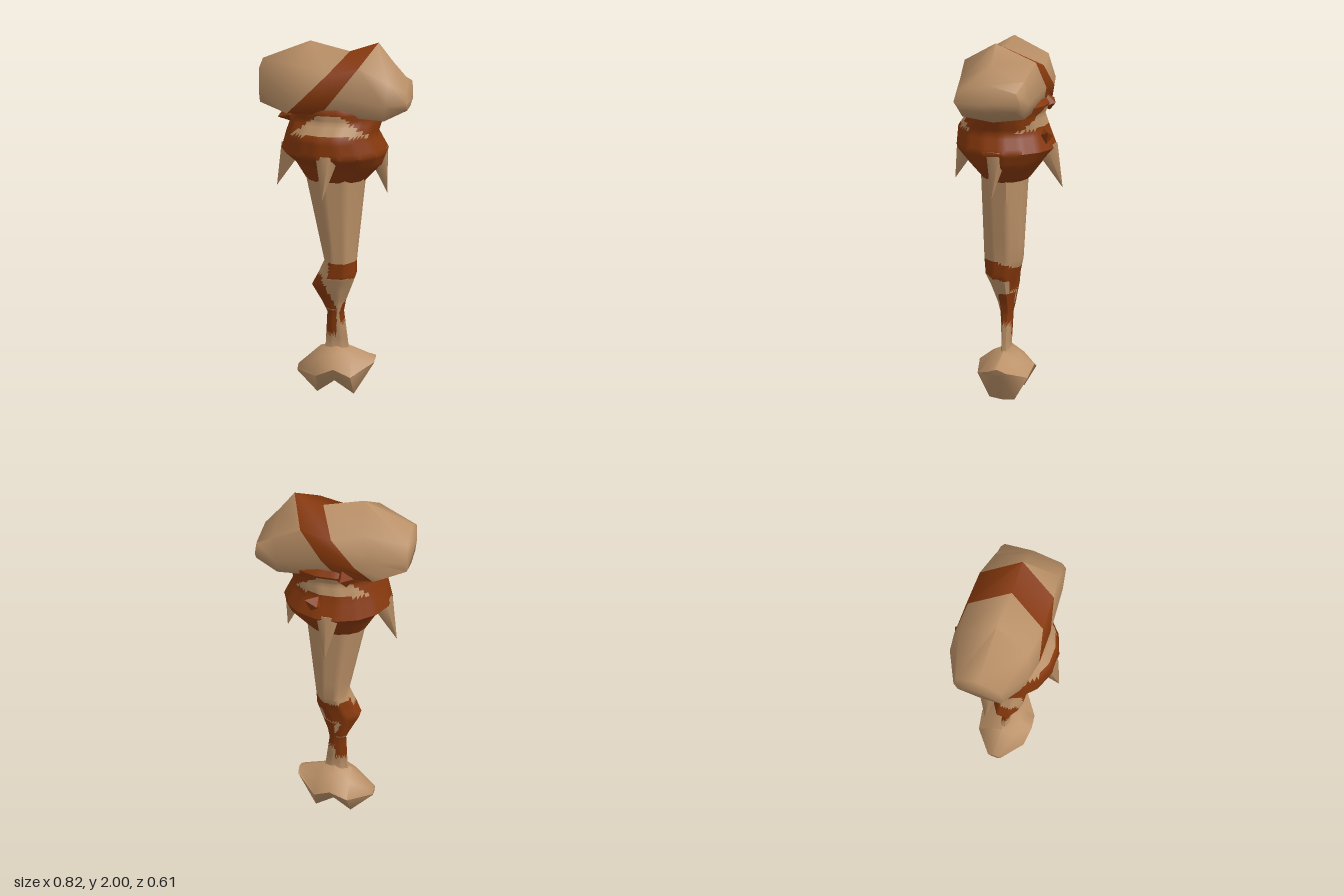
import * as THREE from 'three';
import { toCreasedNormals } from 'three/addons/utils/BufferGeometryUtils.js';

const bone = new THREE.MeshStandardMaterial({ color: 0xb98f66 });
bone.name = 'bone tan';
const leather = new THREE.MeshStandardMaterial({ color: 0x86380c });
leather.name = 'leather brown';

const V = (x, y, z) => new THREE.Vector3(x, y, z);

// Ring with n sides lying flat at height y, filling the given extents
function ringY(n, y, x0, x1, z0, z1) {
  const pts = [], k = 1 / Math.cos(Math.PI / n);
  for (let i = 0; i < n; i++) {
    const a = (i + 0.5) * Math.PI * 2 / n;
    pts.push(V((x0 + x1) / 2 + Math.cos(a) * k * (x1 - x0) / 2, y,
      (z0 + z1) / 2 + Math.sin(a) * k * (z1 - z0) / 2));
  }
  return pts;
}

// Upright ring hung between a top and a bottom point, with half width w;
// the profile lists [drop, width] pairs between the two points
const HEAD = [[0.27, 0.87], [0.65, 1], [0.92, 0.85]];
const POMMEL = [[0.18, 0.5], [0.48, 1], [0.97, 0.5]];
function ringX(profile, tx, ty, bx, by, w) {
  const at = (t, z) => V(tx + (bx - tx) * t, ty + (by - ty) * t, z);
  return [at(0, 0), ...profile.map(([t, s]) => at(t, -s * w)),
    at(1, 0), ...[...profile].reverse().map(([t, s]) => at(t, s * w))];
}

// Skin through rings with capped ends; isBrown(centre, row) picks the colour of each face
function loft(name, rings, isBrown, sub = 1, caps = [], crease = 0.9) {
  const rows = [];
  for (let r = 0; r < rings.length; r++) {
    const steps = r === rings.length - 1 ? 1 : sub;
    for (let k = 0; k < steps; k++) {
      const ring = rings[r].map((p, i) => steps > 1 ? p.clone().lerp(rings[r + 1][i], k / steps) : p.clone());
      const fine = [];
      ring.forEach((p, i) => {
        for (let m = 0; m < sub; m++) fine.push(p.clone().lerp(ring[(i + 1) % ring.length], m / sub));
      });
      rows.push(fine);
    }
  }
  const sets = [[], []];
  const tri = (a, b, c, row) => {
    const mid = a.clone().add(b).add(c).divideScalar(3);
    sets[isBrown(mid, row) ? 1 : 0].push(a, b, c);
  };
  const n = rows[0].length, last = rows.length - 1;
  for (let r = 0; r < last; r++) {
    for (let i = 0; i < n; i++) {
      const j = (i + 1) % n, A = rows[r], B = rows[r + 1];
      tri(A[i], B[i], A[j], Math.floor(r / sub));
      tri(A[j], B[i], B[j], Math.floor(r / sub));
    }
  }
  const centre = ring => ring.reduce((s, p) => s.add(p), V(0, 0, 0)).divideScalar(n);
  const c0 = caps[0] || centre(rows[0]), c1 = caps[1] || centre(rows[last]);
  for (let i = 0; i < n; i++) {
    const j = (i + 1) % n;
    tri(c0, rows[0][i], rows[0][j], -1);
    tri(c1, rows[last][j], rows[last][i], rings.length);
  }
  let geo = new THREE.BufferGeometry().setFromPoints([...sets[0], ...sets[1]]);
  geo = toCreasedNormals(geo, crease);
  geo.clearGroups();
  geo.addGroup(0, sets[0].length, 0);
  geo.addGroup(sets[0].length, sets[1].length, 1);
  const mesh = new THREE.Mesh(geo, [bone, leather]);
  mesh.name = name;
  return mesh;
}

export function createModel() {
  const club = new THREE.Group();
  club.name = 'boneClub';

  // Head: wide knuckle with a slanted leather strap between two of its rings
  club.add(loft('head', [
    ringX(HEAD, -0.385, 1.90, -0.38, 1.67, 0.13),
    ringX(HEAD, -0.13, 2.00, -0.29, 1.64, 0.205),
    ringX(HEAD, 0.08, 1.95, -0.25, 1.625, 0.222),
    ringX(HEAD, 0.23, 2.00, -0.07, 1.62, 0.22),
    ringX(HEAD, 0.31, 1.90, 0.28, 1.60, 0.195),
    ringX(HEAD, 0.39, 1.81, 0.40, 1.67, 0.175),
  ], (p, row) => row === 2, 1, [V(-0.413, 1.84, -0.03), V(0.412, 1.71, 0.03)], 1.1));

  // Shaft with uneven painted wraps near the grip
  const wraps = ({ x, y, z }) => {
    const upper = y > 0.69 + 0.2 * z && y < 0.78 + 0.3 * z + 0.05 * x && (x > -0.02 || z < 0);
    const middle = y > 0.5 && y <= 0.72 && (x < -0.02 + (0.6 - y) * 0.4 || (z < -0.03 && y > 0.62));
    const right = x > 0.01 && y > 0.42 && y < 0.61 && z < 0.03;
    const lower = y > 0.35 && y < 0.5 && x < 0.015;
    return upper || middle || right || lower;
  };
  club.add(loft('shaft', [
    ringY(8, 0.24, -0.065, 0.085, -0.03, 0.035),
    ringY(8, 0.29, -0.05, 0.075, -0.02, 0.025),
    ringY(8, 0.48, -0.04, 0.05, -0.03, 0.035),
    ringY(8, 0.54, -0.065, 0.06, -0.04, 0.05),
    ringY(8, 0.65, -0.12, 0.10, -0.055, 0.09),
    ringY(8, 0.71, -0.09, 0.12, -0.065, 0.11),
    ringY(8, 0.80, -0.05, 0.12, -0.09, 0.113),
    ringY(8, 1.32, -0.155, 0.17, -0.105, 0.13),
  ], wraps, 5));

  // Collar: leather bulge around the neck with bare bone showing front and back
  const bare = ({ x, y, z }) => Math.abs(z) > 0.08 && y > 1.555 - 0.1 * Math.abs(x)
    && y < Math.min(1.645, 1.69 - 0.75 * Math.abs(x));
  club.add(loft('collar', [
    ringY(16, 1.255, -0.15, 0.165, -0.12, 0.12),
    ringY(16, 1.36, -0.21, 0.26, -0.20, 0.20),
    ringY(16, 1.43, -0.28, 0.285, -0.26, 0.27),
    ringY(16, 1.53, -0.25, 0.235, -0.22, 0.265),
    ringY(16, 1.61, -0.225, 0.26, -0.20, 0.205),
    ringY(16, 1.66, -0.24, 0.265, -0.22, 0.205),
    ringY(16, 1.74, -0.18, 0.20, -0.16, 0.16),
  ], p => !bare(p), 4));

  // Leather knots around the neck
  [[-0.22, 1.645, 0.15, 0.3], [-0.08, 1.655, -0.205, -0.3], [0.07, 1.5, -0.225, 0.5]]
    .forEach(([x, y, z, turn]) => {
      const knot = new THREE.Mesh(new THREE.OctahedronGeometry(0.06), leather);
      knot.scale.set(1, 0.75, 0.7);
      knot.position.set(x, y, z);
      knot.rotation.set(0, turn, turn);
      knot.name = 'neckKnot';
      club.add(knot);
    });

  // Four downward spikes, leaning slightly outward
  [['front', -0.01, 0.225, -0.02, 1.22, 0.305], ['back', 0, -0.215, 0, 1.21, -0.305],
    ['left', 0.23, 0, 0.287, 1.19, 0.01], ['right', -0.23, 0, -0.32, 1.20, 0]]
    .forEach(([side, bx, bz, tx, ty, tz]) => {
      const base = V(bx, 1.43, bz), dir = V(tx, ty, tz).sub(base);
      const geo = new THREE.ConeGeometry(0.064, dir.length(), 5);
      geo.translate(0, dir.length() / 2, 0);
      const spike = new THREE.Mesh(geo, bone);
      spike.quaternion.setFromUnitVectors(V(0, 1, 0), dir.normalize());
      spike.position.copy(base);
      spike.name = side + 'Spike';
      club.add(spike);
    });

  // Pommel: two-lobed knuckle at the foot
  club.add(loft('pommel', [
    ringX(POMMEL, -0.21, 0.14, -0.21, 0.10, 0.04),
    ringX(POMMEL, -0.08, 0.265, -0.09, 0.0, 0.145),
    ringX(POMMEL, 0.02, 0.29, 0.01, 0.08, 0.16),
    ringX(POMMEL, 0.10, 0.27, 0.12, 0.0, 0.145),
    ringX(POMMEL, 0.235, 0.22, 0.225, 0.18, 0.05),
  ], () => false, 1, [], 1.1));

  return club;
}
